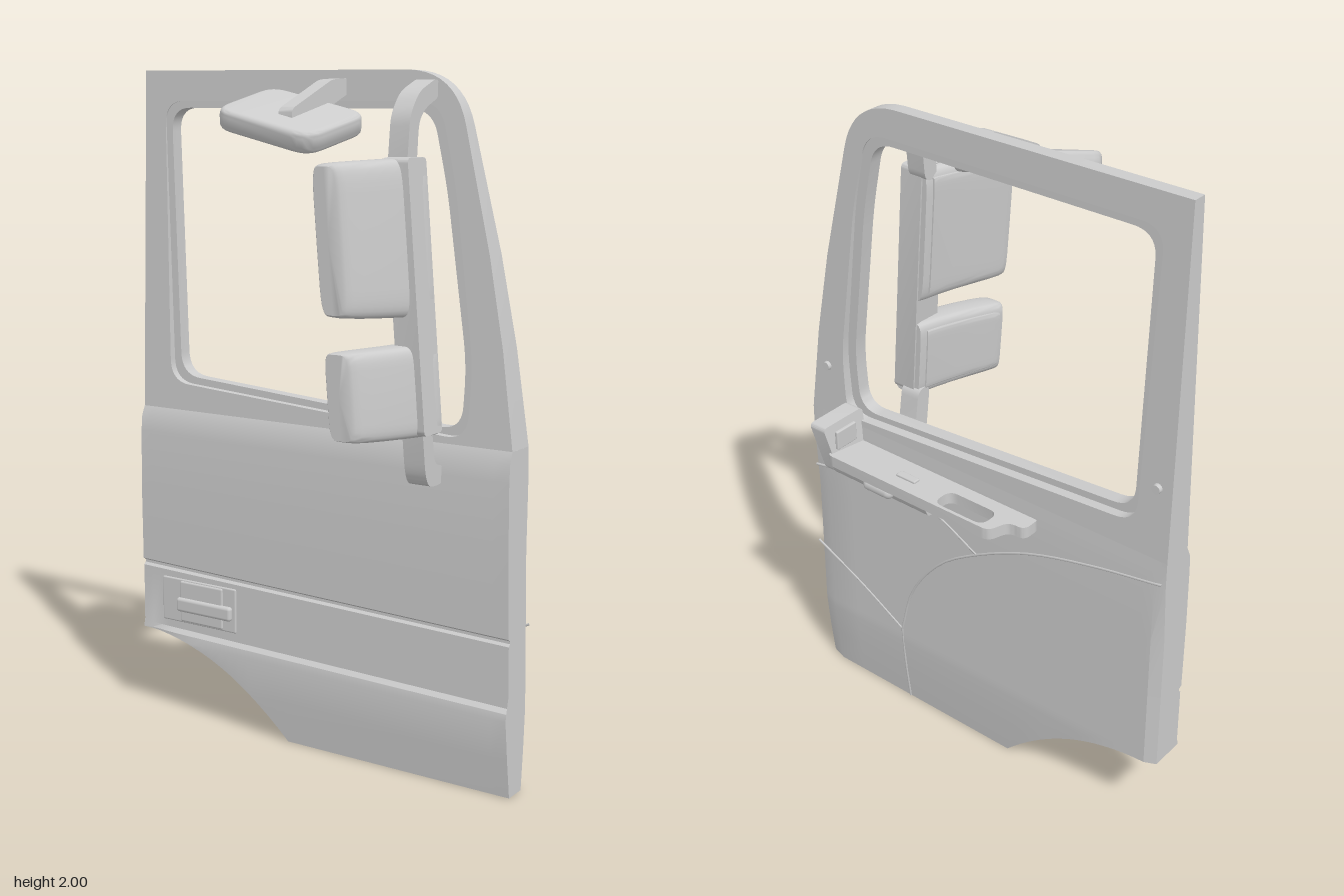
import * as THREE from 'three';
import { toCreasedNormals } from 'three/addons/utils/BufferGeometryUtils.js';
import { RoundedBoxGeometry } from 'three/addons/geometries/RoundedBoxGeometry.js';

const grey = new THREE.MeshStandardMaterial({ color: 0xcccccc });
const lerp = THREE.MathUtils.lerp;

function add(parent, name, geometry, x = 0, y = 0, z = 0) {
  const m = new THREE.Mesh(geometry, grey);
  m.name = name;
  m.position.set(x, y, z);
  parent.add(m);
  return m;
}

// Piecewise linear lookup in [[y, z], ...]
function profile(table, y) {
  for (let i = 1; i < table.length; i++) {
    const [y0, z0] = table[i - 1], [y1, z1] = table[i];
    if (y <= y1) return lerp(z0, z1, Math.max(0, (y - y0) / (y1 - y0)));
  }
  return table[table.length - 1][1];
}

// Skin closed rings of points and cap both ends
function loft(rings, crease = 0.5) {
  const pos = [], n = rings[0].length;
  const tri = (a, b, c) => pos.push(...a, ...b, ...c);
  for (let j = 0; j < rings.length - 1; j++) {
    for (let i = 0; i < n; i++) {
      const k = (i + 1) % n, a = rings[j], b = rings[j + 1];
      tri(a[i], b[i], b[k]);
      tri(a[i], b[k], a[k]);
    }
  }
  const mid = r => [0, 1, 2].map(c => r.reduce((s, p) => s + p[c], 0) / n);
  const first = rings[0], last = rings[rings.length - 1], c0 = mid(first), c1 = mid(last);
  for (let i = 0; i < n; i++) {
    const k = (i + 1) % n;
    tri(c0, first[i], first[k]);
    tri(c1, last[k], last[i]);
  }
  const g = new THREE.BufferGeometry();
  g.setAttribute('position', new THREE.Float32BufferAttribute(pos, 3));
  return toCreasedNormals(g, crease);
}

// Polygon with rounded corners
function rounded(points, r, path = new THREE.Shape()) {
  const v = points.map(p => new THREE.Vector2(...p)), n = v.length;
  v.forEach((p, i) => {
    const step = q => p.clone().add(q.clone().sub(p).setLength(Math.min(r, q.distanceTo(p) * 0.45)));
    const a = step(v[(i + n - 1) % n]), b = step(v[(i + 1) % n]);
    if (i) path.lineTo(a.x, a.y); else path.moveTo(a.x, a.y);
    path.quadraticCurveTo(p.x, p.y, b.x, b.y);
  });
  path.closePath();
  return path;
}

// Side outline in (z, y), extruded across x and centred
function sideExtrude(points, width, r = 0.015) {
  const g = new THREE.ExtrudeGeometry(rounded(points, r), { depth: width, bevelEnabled: false, curveSegments: 5 });
  return toCreasedNormals(g.translate(0, 0, -width / 2).rotateY(-Math.PI / 2), 0.6);
}

// Move every vertex by a rule
function warp(g, rule) {
  const p = g.attributes.position, v = new THREE.Vector3();
  for (let i = 0; i < p.count; i++) {
    rule(v.fromBufferAttribute(p, i));
    p.setXYZ(i, v.x, v.y, v.z);
  }
  return toCreasedNormals(g, 0.6);
}

const FRONT = [[0, -0.055], [0.12, -0.042], [0.24, -0.032], [0.262, -0.036], [0.275, -0.048], [0.455, -0.049],
  [0.462, -0.057], [0.47, -0.057], [0.477, -0.046], [0.7, -0.044], [0.9, -0.047], [0.95, -0.052], [0.98, -0.065]];
const BACK = [[0, -0.14], [0.1, -0.152], [0.25, -0.165], [0.9, -0.165], [0.98, -0.16]];

// Lower door: vertical cross-sections, cut away below by the wheel arch
function lowerPanel() {
  const xs = [];
  for (let i = 0; i <= 16; i++) xs.push(-0.65 + 0.55 * i / 16);
  xs.push(0.1, 0.3, 0.5, 0.6, 0.65);
  const rings = xs.map(x => {
    const floor = x < -0.1 ? 0.27 * (1 - Math.pow((x + 0.65) / 0.55, 2.2)) : 0;
    const chamfer = Math.abs(x) > 0.64 ? 0.015 : 0;
    const point = (y, back) => {
      const tilted = Math.max(floor, y - 0.025 * x * Math.sin(Math.PI * Math.min(1, y / 0.98)));
      const yy = Math.max(floor, y);
      const z = back ? profile(BACK, yy) + chamfer * Math.min(1, (0.98 - yy) * 4) : profile(FRONT, yy);
      return [x > 0 ? x - 0.02 * tilted * x / 0.65 : x, tilted, z];
    };
    const ys = FRONT.map(p => p[0]);
    return [...ys.map(y => point(y, false)), ...ys.reverse().map(y => point(y, true))];
  });
  return loft(rings, 0.4);
}

const OPENING = [[-0.545, 1.065], [0.49, 0.995], [0.5, 1.2], [0.43, 1.68], [0.375, 1.905], [-0.575, 1.91]];
const SEAL = [[-0.52, 1.085], [0.46, 1.015], [0.47, 1.2], [0.4, 1.67], [0.35, 1.885], [-0.552, 1.89]];

// Upper frame around the window, thinning toward the roof
function windowFrame() {
  const s = new THREE.Shape();
  s.moveTo(-0.65, 0.98);
  s.lineTo(0.63, 0.98);
  s.lineTo(0.59, 1.25);
  s.lineTo(0.54, 1.5);
  s.lineTo(0.455, 1.84);
  s.quadraticCurveTo(0.42, 1.985, 0.27, 1.99);
  s.lineTo(-0.65, 2);
  s.holes.push(rounded(OPENING, 0.07, new THREE.Path()));
  const g = new THREE.ExtrudeGeometry(s, { depth: 1, bevelEnabled: false, curveSegments: 10 });
  return warp(g, v => {
    const t = (v.y - 0.98) / 1.02;
    v.z = lerp(lerp(-0.16, -0.14, t), lerp(-0.065, -0.1, t), v.z);
  });
}

function windowSeal() {
  const s = rounded(OPENING, 0.07);
  s.holes.push(rounded(SEAL, 0.07, new THREE.Path()));
  const g = new THREE.ExtrudeGeometry(s, { depth: 0.04, bevelEnabled: false, curveSegments: 10 });
  return warp(g, v => { v.z += lerp(-0.13, -0.14, v.y - 1); });
}

// Mirror housing swept outward along z, curving toward -x
const lean = y => -(y - 1.4) * 0.085;
function housing(y0, y1, width, shift, z0, z1) {
  const stations = [[0, 0.94], [0.06, 1], [0.25, 1], [0.45, 1], [0.65, 1], [0.82, 0.98], [0.93, 0.93], [0.98, 0.84], [1, 0.7]];
  const power = (c, e) => Math.sign(c) * Math.pow(Math.abs(c), e);
  return loft(stations.map(([t, s]) => {
    const z = lerp(z0, z1, t), ring = [];
    const cx = 0.385 + shift - 0.1 * Math.pow(z / 0.29, 1.4);
    for (let i = 0; i < 32; i++) {
      const a = -i / 32 * Math.PI * 2;
      const y = (y0 + y1) / 2 + power(Math.sin(a), 0.3) * (y1 - y0) / 2 * (0.85 + 0.15 * s) * (1 - 0.05 * t);
      ring.push([cx + lean(y) + power(Math.cos(a), 0.4) * width / 2 * s, y, z]);
    }
    return ring;
  }), 0.7);
}

export function createModel() {
  const door = new THREE.Group();
  door.name = 'vehicleDoor';
  add(door, 'lowerPanel', lowerPanel());
  add(door, 'windowFrame', windowFrame());
  add(door, 'windowSeal', windowSeal());

  // Outside handle
  const handle = new THREE.Group();
  handle.name = 'outsideHandle';
  door.add(handle);
  add(handle, 'handleBezel', new RoundedBoxGeometry(0.285, 0.14, 0.012, 2, 0.005), -0.43, 0.378, -0.05);
  add(handle, 'handleCup', new RoundedBoxGeometry(0.165, 0.13, 0.016, 2, 0.006), -0.418, 0.378, -0.047);
  add(handle, 'handleGrip', new RoundedBoxGeometry(0.21, 0.045, 0.022, 3, 0.01), -0.405, 0.368, -0.04);

  // Main and wide-angle mirrors on their bracket
  const mirrors = new THREE.Group();
  mirrors.name = 'sideMirrors';
  door.add(mirrors);
  for (const [name, y0, y1] of [['mainMirror', 1.34, 1.76], ['wideMirror', 1.02, 1.27]]) {
    add(mirrors, name + 'Housing', housing(y0, y1, 0.1, 0, 0.02, 0.292));
    add(mirrors, name + 'Glass', housing(y0 + 0.025, y1 - 0.025, 0.016, -0.047, 0.04, 0.27));
  }
  add(mirrors, 'mirrorSpine', warp(sideExtrude([[0.015, 1.03], [0.11, 1.03], [0.11, 1.76], [0.015, 1.76]], 0.075),
    v => { v.x += 0.39 + lean(v.y); }));
  add(mirrors, 'upperArm', sideExtrude([[-0.11, 1.92], [-0.03, 1.885], [0, 1.85], [0.01, 1.73], [0.06, 1.73],
    [0.045, 1.87], [0, 1.93], [-0.1, 1.97]], 0.06, 0.03), 0.335);
  add(mirrors, 'lowerArm', sideExtrude([[-0.06, 0.87], [0.02, 0.87], [0.04, 0.91], [0.06, 1.05], [0.01, 1.05],
    [-0.01, 0.93], [-0.06, 0.92]], 0.065, 0.03), 0.39);

  // Kerb mirror hung above the window
  const kerb = new THREE.Group();
  kerb.name = 'kerbMirror';
  door.add(kerb);
  const plate = rounded([[-0.18, -0.125], [0.15, -0.125], [0.18, 0.115], [-0.155, 0.115]], 0.06);
  const shell = new THREE.ExtrudeGeometry(plate, { depth: 0.025, bevelSize: 0.015, bevelOffset: -0.015,
    bevelThickness: 0.018, bevelSegments: 4, curveSegments: 6 });
  const body = add(kerb, 'kerbMirrorHousing', toCreasedNormals(shell.translate(0, 0, -0.0125).rotateX(-Math.PI / 2), 0.6), 0, 1.855, 0.065);
  body.rotation.set(0.3, 0, -0.23, 'ZXY');
  add(kerb, 'kerbMirrorArm', warp(sideExtrude([[-0.11, 1.93], [0, 1.875], [0.12, 1.84], [0.12, 1.885],
    [-0.04, 1.965], [-0.11, 1.97]], 0.045), v => { v.x += 0.05 - 0.15 * (v.z + 0.1); }));

  // Inside armrest: shelf with a pull slot, raised end and fascia
  const rest = new THREE.Group();
  rest.name = 'armrest';
  door.add(rest);
  const plan = rounded([[-0.225, 0.15], [0.46, 0.15], [0.46, 0.285], [-0.15, 0.285], [-0.17, 0.22], [-0.225, 0.22]], 0.025);
  plan.holes.push(rounded([[-0.12, 0.205], [0.055, 0.205], [0.055, 0.275], [-0.12, 0.275]], 0.03, new THREE.Path()));
  const shelf = new THREE.ExtrudeGeometry(plan, { depth: 0.035, bevelEnabled: false, curveSegments: 6 });
  add(rest, 'shelf', toCreasedNormals(shelf.rotateX(-Math.PI / 2), 0.6), 0, 0.9, 0);
  add(rest, 'fascia', sideExtrude([[-0.15, 0.87], [-0.26, 0.86], [-0.28, 0.91], [-0.15, 0.91]], 0.36), 0.27);
  add(rest, 'raisedEnd', warp(sideExtrude([[-0.15, 0.88], [-0.26, 0.86], [-0.29, 1.02], [-0.15, 1.04]], 0.055),
    v => { v.x += 0.46 - 0.18 * (v.z + 0.17) + 0.12 * (v.y - 0.97); }));
  add(rest, 'endVent', new RoundedBoxGeometry(0.012, 0.06, 0.08, 2, 0.004), 0.435, 0.98, -0.225);
  add(rest, 'shelfSwitch', new RoundedBoxGeometry(0.07, 0.012, 0.025, 2, 0.004), 0.19, 0.936, -0.23);
  const pull = new THREE.CapsuleGeometry(0.02, 0.07, 6, 12).rotateZ(Math.PI / 2);
  add(rest, 'doorPull', pull, 0.27, 0.888, -0.268);

  // Trim seams on the inside
  const seams = [
    [[0.3, 0], [0.3, 0.15], [0.3, 0.29]],
    [[0.645, 0.476], [0.47, 0.39], [0.3, 0.29]],
    [[0.3, 0.29], [0.25, 0.46], [0.135, 0.617], [-0.007, 0.717], [-0.2, 0.81], [-0.42, 0.87], [-0.64, 0.91]],
    [[0.63, 0.77], [0.4, 0.81], [0.17, 0.8], [-0.007, 0.717]],
  ];
  for (const points of seams) {
    const curve = new THREE.CatmullRomCurve3(points.map(([x, y]) => new THREE.Vector3(x, y, profile(BACK, y))));
    add(door, 'trimSeam', new THREE.TubeGeometry(curve, 24, 0.004, 6));
  }

  // Lock buttons
  for (const [x, y] of [[0.56, 1.14], [-0.605, 1.2]]) {
    add(door, 'lockButton', new THREE.CylinderGeometry(0.013, 0.015, 0.02, 16).rotateX(-Math.PI / 2), x, y, -0.157);
  }
  return door;
}
